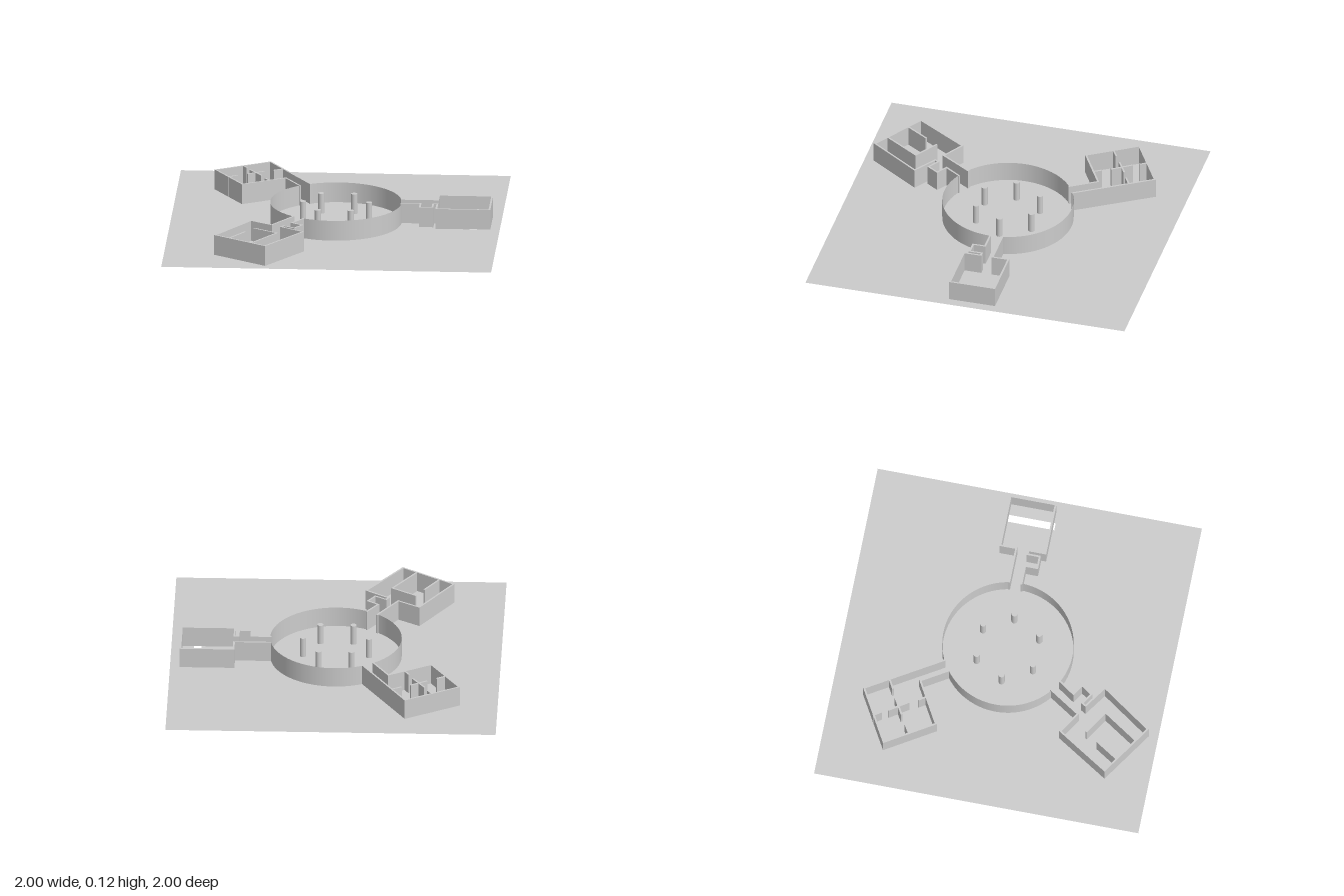
import * as THREE from 'three';

const H = 0.125; // wall height
const T = 0.011; // wall thickness

export function createModel() {
  const model = new THREE.Group();
  const solid = new THREE.MeshStandardMaterial({ color: 0xcccccc });
  const thin = new THREE.MeshStandardMaterial({ color: 0xcccccc, side: THREE.DoubleSide });

  // Adds a run of straight walls through the given [x, z] points
  function addWalls(group, name, points) {
    for (let i = 0; i < points.length - 1; i++) {
      const [x0, z0] = points[i];
      const [x1, z1] = points[i + 1];
      const length = Math.hypot(x1 - x0, z1 - z0);
      const wall = new THREE.Mesh(new THREE.BoxGeometry(length + T, H, T), solid);
      wall.position.set((x0 + x1) / 2, H / 2, (z0 + z1) / 2);
      wall.rotation.y = -Math.atan2(z1 - z0, x1 - x0);
      wall.name = name;
      group.add(wall);
    }
  }

  function addRoom(name, outer, inner) {
    const room = new THREE.Group();
    room.name = name;
    outer.forEach((run) => addWalls(room, 'outerWall', run));
    inner.forEach((run) => addWalls(room, 'partition', run));
    model.add(room);
  }

  // Ground sheet with a slot under the left room
  const sheet = new THREE.Shape([[-1, -1], [1, -1], [1, 1], [-1, 1]].map(([x, y]) => new THREE.Vector2(x, y)));
  sheet.holes.push(new THREE.Path(
    [[0.817, -0.125], [0.817, 0.167], [0.862, 0.167], [0.862, -0.125]].map(([x, y]) => new THREE.Vector2(x, y))));
  const ground = new THREE.Mesh(new THREE.ShapeGeometry(sheet).rotateX(-Math.PI / 2), thin);
  ground.name = 'ground';
  model.add(ground);

  // Round hall wall, open at the three corridors
  const hall = new THREE.Group();
  hall.name = 'hall';
  for (const [start, end] of [[1.746, 3.598], [3.776, 5.632], [5.824, 7.841]]) {
    const arc = new THREE.Mesh(
      new THREE.CylinderGeometry(0.398, 0.398, H, 40, 1, true, start, end - start), thin);
    arc.position.y = H / 2;
    arc.name = 'curvedWall';
    hall.add(arc);
  }

  // Ring of six columns
  for (let i = 0; i < 6; i++) {
    const a = (i * Math.PI) / 3;
    const column = new THREE.Mesh(new THREE.CylinderGeometry(0.019, 0.019, H, 32), solid);
    column.position.set(0.2 * Math.cos(a), H / 2, 0.2 * Math.sin(a));
    column.name = 'column';
    hall.add(column);
  }
  model.add(hall);

  // Left room: corridor with alcove, one open chamber
  addRoom('leftRoom', [[
    [0.396, -0.07], [0.615, -0.07], [0.615, -0.168], [0.937, -0.168], [0.937, 0.11],
    [0.615, 0.11], [0.615, 0.005], [0.59, 0.005], [0.59, 0.08], [0.513, 0.08],
    [0.513, 0.005], [0.396, 0.005],
  ]], []);

  // Front room: alcove and winding partitions
  addRoom('frontRoom', [[
    [-0.24, 0.315], [-0.36, 0.5], [-0.49, 0.42], [-0.687, 0.73], [-0.375, 0.935],
    [-0.164, 0.63], [-0.3, 0.537], [-0.287, 0.515], [-0.22, 0.557], [-0.176, 0.492],
    [-0.24, 0.45], [-0.176, 0.356],
  ]], [
    [[-0.6, 0.787], [-0.515, 0.655]],
    [[-0.46, 0.575], [-0.32, 0.665], [-0.46, 0.877]],
  ]);

  // Back room: four bays marked by a central cross and wall stubs
  addRoom('backRoom', [[
    [-0.176, -0.358], [-0.445, -0.8], [-0.765, -0.617], [-0.588, -0.33],
    [-0.333, -0.475], [-0.238, -0.32],
  ]], [
    [[-0.555, -0.625], [-0.485, -0.52]],
    [[-0.565, -0.547], [-0.475, -0.6]],
    [[-0.605, -0.71], [-0.58, -0.672]],
    [[-0.36, -0.66], [-0.412, -0.63]],
    [[-0.68, -0.478], [-0.63, -0.508]],
    [[-0.43, -0.42], [-0.455, -0.46]],
  ]);

  return model;
}
